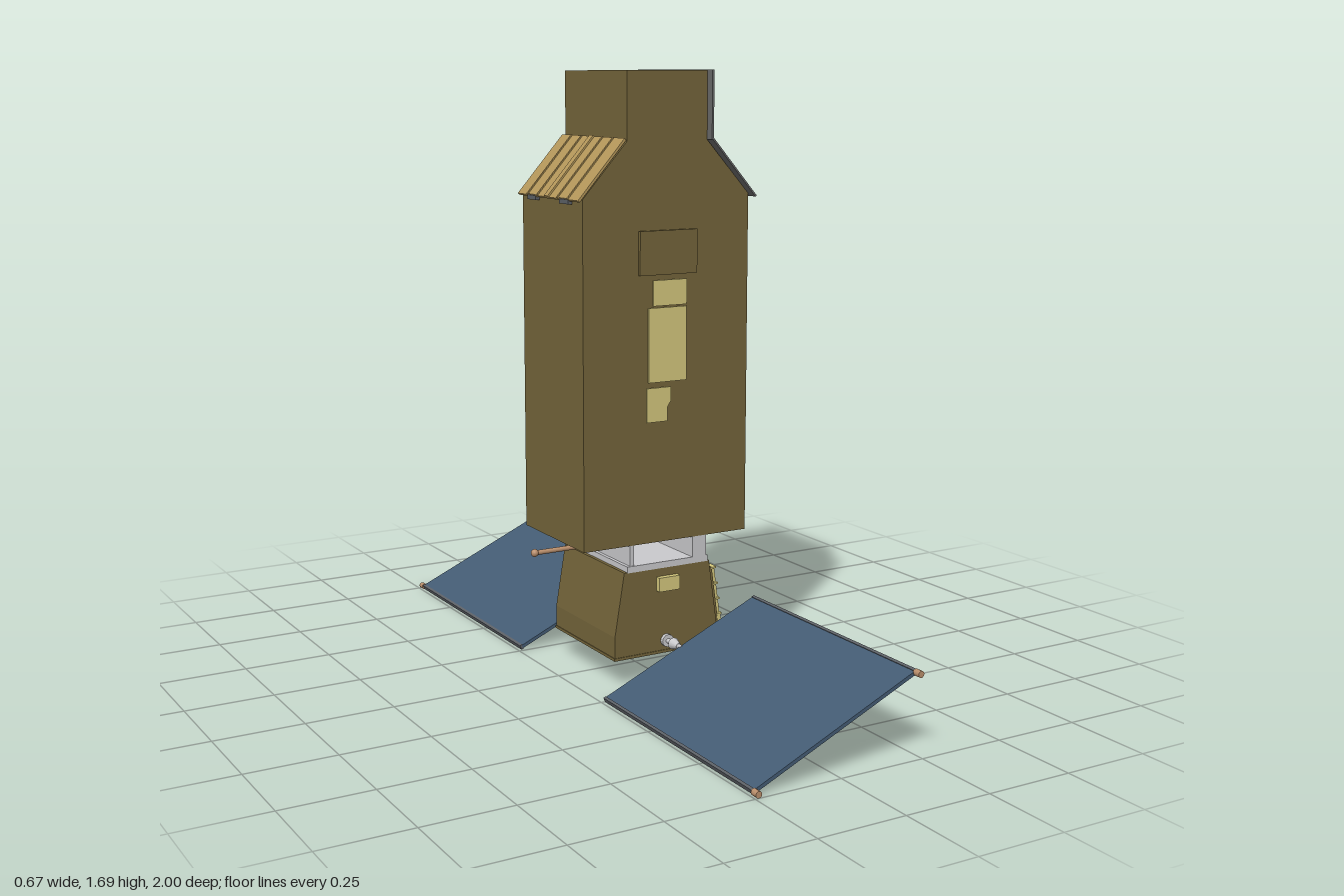
import * as THREE from 'three';

const mat = (name, color) => {
  const m = new THREE.MeshStandardMaterial({ color });
  m.name = name;
  return m;
};

export function createModel() {
  const model = new THREE.Group();
  model.name = 'satellite';

  const foil = mat('bronze foil', 0x73643a);
  const yellow = mat('pale yellow', 0xd3c77c);
  const tan = mat('tan radiator', 0xb4975a);
  const blue = mat('solar blue', 0x435b73);
  const grey = mat('shade grey', 0x696969);
  const white = mat('light grey', 0xc9c9cc);
  const copper = mat('copper', 0xba8f6c);
  const steel = mat('edge grey', 0x5c6066);

  const add = (name, geo, material, x = 0, y = 0, z = 0, parent = model) => {
    const mesh = new THREE.Mesh(geo, material);
    mesh.name = name;
    mesh.position.set(x, y, z);
    parent.add(mesh);
    return mesh;
  };

  // Box given by its minimum and maximum corners
  const box = (name, m, x0, x1, y0, y1, z0, z1, parent) =>
    add(name, new THREE.BoxGeometry(x1 - x0, y1 - y0, z1 - z0), m,
      (x0 + x1) / 2, (y0 + y1) / 2, (z0 + z1) / 2, parent);

  // Outline in x,y extruded evenly about z = 0
  const prism = (name, m, points, halfDepth) => {
    const shape = new THREE.Shape(points.map(p => new THREE.Vector2(...p)));
    const geo = new THREE.ExtrudeGeometry(shape, { depth: halfDepth * 2, bevelEnabled: false });
    return add(name, geo, m, 0, 0, -halfDepth);
  };

  // Local frame on a sloping side: x runs from p to q, y points outward
  const slope = (name, p, q) => {
    const g = new THREE.Group();
    g.name = name;
    g.position.set(p[0], p[1], 0);
    g.rotation.z = Math.atan2(q[1] - p[1], q[0] - p[0]);
    model.add(g);
    return { g, len: Math.hypot(q[0] - p[0], q[1] - p[1]) };
  };

  const rod = (name, m, r0, r1, len, axis, x, y, z, parent) => {
    const geo = new THREE.CylinderGeometry(r1, r0, len, 12);
    if (axis === 'x') geo.rotateZ(-Math.PI / 2);
    if (axis === 'z') geo.rotateX(Math.PI / 2);
    return add(name, geo, m, x, y, z, parent);
  };

  // Tall instrument body with sloping shoulders and neck
  prism('mainBody', foil, [
    [-0.26, 0.405], [0.26, 0.405], [0.26, 1.36], [0.125, 1.51],
    [0.125, 1.695], [-0.125, 1.695], [-0.125, 1.51], [-0.26, 1.36],
  ], 0.175);

  // Patches and hatch repeated on front and back
  for (const s of [1, -1]) {
    const plate = (name, m, x0, x1, y0, y1, t) =>
      box(name, m, x0, x1, y0, y1, s > 0 ? 0.174 : -0.174 - t, s > 0 ? 0.174 + t : -0.174);
    plate('hatch', foil, -0.09, 0.09, 1.15, 1.27, 0.01);
    plate('upperPatch', yellow, -0.045, 0.06, 1.065, 1.135, 0.005);
    plate('middlePatch', yellow, -0.06, 0.06, 0.855, 1.06, 0.005);
    const patch = new THREE.Shape([[-0.065, 0.745], [0, 0.745], [0, 0.785], [0.01, 0.8],
      [0.01, 0.84], [-0.065, 0.84]].map(p => new THREE.Vector2(...p)));
    add('lowerPatch', new THREE.ExtrudeGeometry(patch, { depth: 0.005, bevelEnabled: false }),
      yellow, 0, 0, s > 0 ? 0.174 : -0.179);
    // Small sensor on the lower bus
    box('busSensor', yellow, -0.032, 0.035, 0.265, 0.305, s > 0 ? 0.17 : -0.192, s > 0 ? 0.192 : -0.17);
  }

  // Grey sun shade behind the left shoulder
  box('neckShade', grey, 0.125, 0.131, 1.51, 1.697, -0.2, 0.2);
  const shade = slope('shoulderShade', [0.127, 1.512], [0.268, 1.352]);
  box('shadePlate', grey, 0, shade.len, 0, 0.005, -0.2, 0.2, shade.g);

  // Ribbed shoulder radiators
  const radiator = (name, m, p, q) => {
    const { g, len } = slope(name, p, q);
    box('radiatorPanel', m, 0, len, 0.002, 0.009, -0.177, 0.177, g);
    for (const z of [-0.118, -0.059, 0.059, 0.118])
      box('radiatorRib', m, 0, len, 0.008, 0.012, z - 0.003, z + 0.003, g);
    box('centreStrip', m, 0, len, 0.008, 0.014, -0.011, 0.011, g);
  };
  radiator('leftRadiator', yellow, [0.129, 1.515], [0.27, 1.355]);
  radiator('rightRadiator', tan, [-0.268, 1.352], [-0.127, 1.512]);
  for (const x of [-0.268, 0.268])
    for (const z of [-0.095, 0.095])
      box('radiatorHinge', steel, x - 0.006, x + 0.006, 1.345, 1.36, z - 0.025, z + 0.025);

  // Open frame joining body and bus
  box('framePlate', white, -0.125, 0.135, 0.328, 0.346, -0.175, 0.175);
  box('frameThinWall', white, -0.115, -0.103, 0.346, 0.405, -0.172, 0.172);
  box('frameWideWall', white, 0.085, 0.13, 0.346, 0.405, -0.175, 0.175);

  // Cross boom with end knobs
  rod('boom', copper, 0.007, 0.007, 0.65, 'x', 0, 0.372, 0);
  for (const x of [-0.322, 0.322])
    add('boomKnob', new THREE.SphereGeometry(0.011, 12, 8), copper, x, 0.372, 0);

  // Lower bus
  prism('bus', foil, [
    [-0.165, 0.085], [0.175, 0.085], [0.14, 0.33], [-0.135, 0.33], [-0.165, 0.15],
  ], 0.175);
  box('busBasePlate', foil, -0.167, 0.177, 0.082, 0.09, -0.177, 0.177);
  for (const x of [-0.035, 0.07])
    for (const z of [-0.097, 0.097])
      box('bottomPatch', yellow, x - 0.035, x + 0.035, 0.075, 0.083, z - 0.045, z + 0.045);

  // Louvre bank on the left side of the bus
  const { g: louvres } = slope('louvreBank', [0.148, 0.305], [0.174, 0.12]);
  box('louvreBack', foil, 0, 0.187, -0.004, 0.006, -0.168, 0.168, louvres);
  for (let i = 0; i < 20; i++) {
    const z = -0.157 + i * 0.3135 / 19;
    box('louvreSlat', yellow, 0.004, 0.142, 0.004, 0.018, z - 0.0045, z + 0.0045, louvres);
  }
  for (const x of [0.002, 0.05, 0.096, 0.142])
    box('louvreRail', yellow, x, x + 0.005, 0.004, 0.021, -0.168, 0.168, louvres);
  for (const z of [-0.166, -0.056, 0.056, 0.166])
    box('louvreFoot', yellow, 0.142, 0.187, 0.004, 0.016, z - 0.003, z + 0.003, louvres);
  box('louvreSill', yellow, 0.183, 0.187, 0.004, 0.016, -0.168, 0.168, louvres);

  // Tilted solar wings, front and back
  for (const s of [1, -1]) {
    const wing = new THREE.Group();
    wing.name = s > 0 ? 'frontWing' : 'backWing';
    wing.position.set(0, 0.118, 0);
    wing.rotation.z = 0.417;
    model.add(wing);
    const mid = s * 0.6175;
    add('solarPanel', new THREE.BoxGeometry(0.52, 0.01, 0.725), blue, 0, 0, mid, wing);
    for (const x of [-0.262, 0.262]) {
      box('panelEdge', steel, x - 0.004, x + 0.004, -0.007, 0.007, mid - 0.3625, mid + 0.3625, wing);
      rod('panelTip', copper, 0.009, 0.009, 0.022, 'z', x, 0, s * 0.989, wing);
    }
    // Drive arm with a flared joint
    rod('driveArm', white, 0.007, 0.007, 0.09, 'z', 0, 0.118, s * 0.215);
    rod('driveJoint', white, s > 0 ? 0.017 : 0.008, s > 0 ? 0.008 : 0.017, 0.028, 'z', 0, 0.118, s * 0.228);
    rod('driveFlange', white, 0.018, 0.018, 0.012, 'z', 0, 0.118, s * 0.18);
  }

  return model;
}
